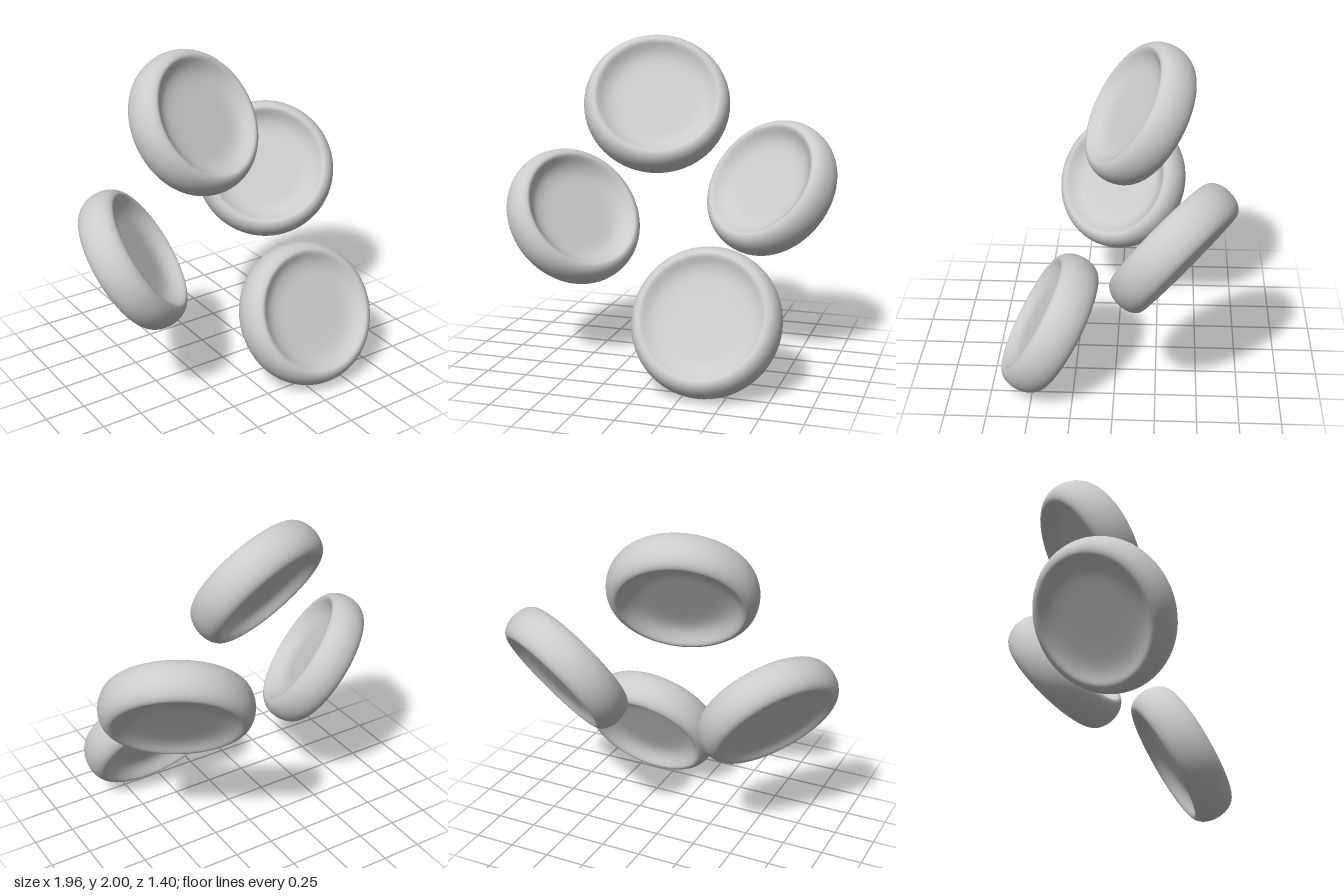
import * as THREE from 'three';

const CREST = 0.37;      // radius where the rim is thickest
const BULGE = 0.075;     // how far the rim rounds outwards from the crest

// Height of a dished face at t (0 = centre, 1 = crest)
const dish = (t, half, dent) => half - dent * Math.pow(1 - Math.pow(t, 8), 1.5);

// Dimpled round disc: bottom dish, rounded rim, top dish
function cellGeometry(half, topDent, bottomDent) {
  const pts = [];
  const n = 32;
  for (let i = 0; i < n; i++) pts.push(new THREE.Vector2((CREST * i) / n, -dish(i / n, half, bottomDent)));
  for (let i = 0; i <= 24; i++) {
    const a = -Math.PI / 2 + (Math.PI * i) / 24;
    pts.push(new THREE.Vector2(CREST + BULGE * Math.cos(a), half * Math.sin(a)));
  }
  for (let i = n - 1; i >= 0; i--) pts.push(new THREE.Vector2((CREST * i) / n, dish(i / n, half, topDent)));
  return new THREE.LatheGeometry(pts, 72);
}

export function createModel() {
  const group = new THREE.Group();
  group.name = 'cellCluster';
  const material = new THREE.MeshStandardMaterial({ color: 0xcccccc });
  const up = new THREE.Vector3(0, 1, 0);

  // name, centre, facing direction, half thickness, front dent, back dent
  const cells = [
    ['upperCell', [-0.115, 1.6, -0.125], [0.25, 0.54, 0.8], 0.123, 0.07, 0.075],
    ['rightCell', [-0.62, 0.89, -0.005], [0.69, 0.55, 0.47], 0.117, 0.085, 0.032],
    ['leftCell', [0.553, 1.075, -0.342], [-0.41, 0.553, 0.72], 0.123, 0.08, 0.035],
    ['lowerCell', [0.35, 0.414, 0.398], [0, 0.5, 0.866], 0.125, 0.06, 0.08],
  ];
  for (const [name, centre, facing, half, front, back] of cells) {
    const mesh = new THREE.Mesh(cellGeometry(half, front, back), material);
    mesh.name = name;
    mesh.position.set(...centre);
    mesh.quaternion.setFromUnitVectors(up, new THREE.Vector3(...facing).normalize());
    group.add(mesh);
  }
  return group;
}
